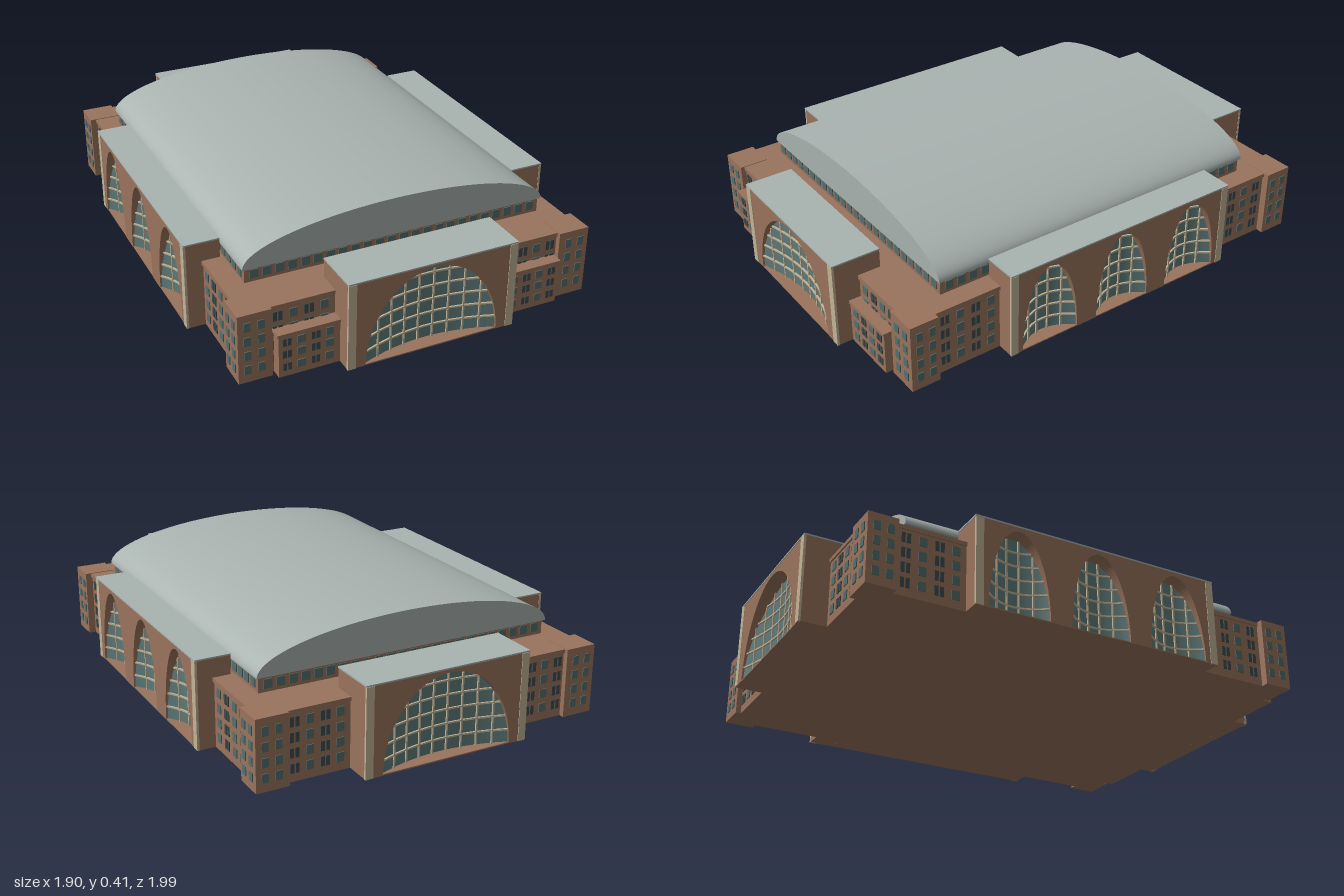
import * as THREE from 'three';
import { mergeGeometries } from 'three/addons/utils/BufferGeometryUtils.js';

const mat = (name, color, side = THREE.FrontSide) => {
  const m = new THREE.MeshStandardMaterial({ color, side });
  m.name = name;
  return m;
};

export function createModel() {
  const brick = mat('brick', 0x9a745d);
  const metal = mat('roofMetal', 0xa9b3b0);
  const glass = mat('archGlass', 0x5f7c7b, THREE.DoubleSide);
  const pane = mat('windowPane', 0x566e6d);
  const darkPane = mat('darkWindowPane', 0x404c4d);
  const trim = mat('stoneTrim', 0xc3b497);

  const model = new THREE.Group();
  model.name = 'arena';
  const hall = new THREE.Group();
  hall.name = 'hall';
  hall.rotation.y = THREE.MathUtils.degToRad(35);
  model.add(hall);

  const add = (parent, name, geo, material) => {
    const m = new THREE.Mesh(geo, material);
    m.name = name;
    parent.add(m);
    return m;
  };
  // box from minimum to maximum corners
  const span = (x0, x1, y0, y1, z0, z1) =>
    new THREE.BoxGeometry(x1 - x0, y1 - y0, z1 - z0)
      .translate((x0 + x1) / 2, (y0 + y1) / 2, (z0 + z1) / 2);

  // main block with a slightly wider cornice
  const bx = 0.588, bz = 0.765, deckY = 0.235;
  add(hall, 'mainBlock', span(-bx, bx, 0, 0.222, -bz, bz), brick);
  add(hall, 'cornice', span(-bx - 0.005, bx + 0.005, 0.222, deckY, -bz - 0.005, bz + 0.005), brick);
  for (const sx of [-1, 1]) for (const sz of [-1, 1]) {
    add(hall, 'cornerPavilion', new THREE.BoxGeometry(0.11, deckY + 0.002, 0.1)
      .translate(sx * 0.558, (deckY + 0.002) / 2, sz * 0.733), brick);
  }

  // clerestory and barrel roof
  add(hall, 'clerestory', span(-0.522, 0.522, deckY, 0.285, -0.618, 0.618), brick);
  const arch = new THREE.Shape();
  arch.moveTo(0.53, 0.283);
  arch.absellipse(0, 0.285, 0.53, 0.127, 0, Math.PI, false);
  arch.lineTo(-0.53, 0.283);
  const roof = new THREE.ExtrudeGeometry(arch, { depth: 1.25, bevelEnabled: false, curveSegments: 40 })
    .translate(0, 0, -0.625);
  // smooth the vault normals, keep the flat ends
  const p = roof.attributes.position, n = roof.attributes.normal;
  for (let i = 0; i < p.count; i++) {
    if (Math.abs(n.getZ(i)) > 0.5 || n.getY(i) < -0.5) continue;
    const v = new THREE.Vector3(p.getX(i) / 0.53 ** 2, Math.max(0, p.getY(i) - 0.285) / 0.127 ** 2, 0).normalize();
    n.setXYZ(i, v.x, v.y, 0);
  }
  add(hall, 'barrelRoof', roof, metal);

  // curved, recessed arch window with a grid of glazing bars
  const archWindow = (parent, cx, w, h, z, cols, rows) => {
    const depth = 0.045;
    const back = u => z - 0.006 - depth * (1 - (u / w) ** 2);
    const top = u => h * Math.sqrt(Math.max(0, 1 - (u / w) ** 2));
    const g = new THREE.PlaneGeometry(1, 1, 32, 1);
    const q = g.attributes.position;
    for (let i = 0; i < q.count; i++) {
      const u = -w * Math.cos((q.getX(i) + 0.5) * Math.PI);
      q.setXYZ(i, cx + u, (q.getY(i) + 0.5) * top(u), back(u));
    }
    g.computeVertexNormals();
    add(parent, 'archGlass', g, glass);

    const bars = [], t = 0.0055;
    for (let i = 1; i < cols; i++) {
      const u = -w + (2 * w * i) / cols;
      bars.push(new THREE.BoxGeometry(t, top(u), t).translate(cx + u, top(u) / 2, back(u) + 0.003));
    }
    for (let j = 1; j < rows; j++) {
      const y = (h * j) / rows, reach = w * Math.sqrt(1 - (y / h) ** 2), parts = 10;
      for (let k = 0; k < parts; k++) {
        const a = -reach + (2 * reach * k) / parts, b = a + (2 * reach) / parts;
        const dz = back(b) - back(a);
        bars.push(new THREE.BoxGeometry(Math.hypot(b - a, dz), t, t)
          .rotateY(-Math.atan2(dz, b - a))
          .translate(cx + (a + b) / 2, y, (back(a) + back(b)) / 2 + 0.003));
      }
    }
    add(parent, 'glazingBars', mergeGeometries(bars), trim);
  };

  // entrance wing: arched front wall, solid back, metal top, stone end strips
  const wing = (side, half, z0, z1, centres, w, h, cols, rows) => {
    const s = new THREE.Shape();
    s.moveTo(-half, 0);
    for (const c of centres) {
      s.lineTo(c - w, 0);
      s.absellipse(c, 0, w, h, Math.PI, 0, true);
    }
    s.lineTo(half, 0);
    s.lineTo(half, 0.299);
    s.lineTo(-half, 0.299);
    const wall = new THREE.ExtrudeGeometry(s, { depth: 0.056, bevelEnabled: false, curveSegments: 28 })
      .translate(0, 0, z1 - 0.056);
    add(side, 'archedWall', wall, brick);
    add(side, 'wingCore', span(-half, half, 0, 0.299, z0, z1 - 0.055), brick);
    add(side, 'wingFloor', span(-half, half, 0, 0.004, z1 - 0.056, z1 - 0.001), brick);
    add(side, 'wingRoof', span(-half - 0.002, half + 0.002, 0.299, 0.304, z0, z1 + 0.002), metal);
    for (const e of [-1, 1]) {
      add(side, 'stoneStrip', new THREE.BoxGeometry(0.027, 0.298, 0.008)
        .translate(e * (half - 0.0125), 0.149, z1 - 0.002), trim);
    }
    for (const c of centres) archWindow(side, c, w, h, z1, cols, rows);
  };

  // rows of thin window plates on a wall at depth z
  const windows = (side, xs, ys, z, w, h, material) => {
    const list = [];
    for (const x of xs) for (const y of ys) {
      list.push(new THREE.BoxGeometry(w, h, 0.006).translate(x, y, z));
    }
    add(side, 'windows', mergeGeometries(list), material);
  };
  const range = (a, b, count) => Array.from({ length: count }, (_, i) => a + ((b - a) * i) / (count - 1));
  const floors = [0.045, 0.095, 0.145, 0.195];

  for (let k = 0; k < 4; k++) {
    const end = k % 2 === 0;
    const side = new THREE.Group();
    side.name = ['frontSide', 'leftSide', 'backSide', 'rightSide'][k];
    side.rotation.y = (k * Math.PI) / 2;
    hall.add(side);

    if (end) wing(side, 0.29, 0.69, 0.857, [0], 0.23, 0.288, 9, 6);
    else wing(side, 0.445, 0.532, 0.65, [-0.293, 0, 0.293], 0.107, 0.285, 5, 6);

    const wallZ = end ? bz : bx, wingHalf = end ? 0.29 : 0.445;
    const edge = end ? 0.613 : 0.783, towerZ = end ? 0.783 : 0.613;
    for (const e of [-1, 1]) {
      const cols = range(wingHalf + 0.035, edge - 0.135, 4).map(x => x * e);
      windows(side, [cols[0], cols[2]], floors, wallZ, 0.026, 0.03, pane);
      // paired narrow windows
      windows(side, [cols[1] - 0.009, cols[1] + 0.009, cols[3] - 0.009, cols[3] + 0.009],
        floors, wallZ, 0.013, 0.032, darkPane);
      windows(side, [e * (edge - 0.03), e * (edge - 0.075)], floors, towerZ, 0.022, 0.03, pane);

      // low annexes flank the front wing only
      if (k === 0) {
        add(side, 'annex', span(e > 0 ? 0.285 : -0.492, e > 0 ? 0.492 : -0.285, 0, 0.145, 0.74, 0.803), brick);
        add(side, 'annexCornice', span(e > 0 ? 0.285 : -0.497, e > 0 ? 0.497 : -0.285, 0.145, 0.154, 0.74, 0.808), brick);
        const ax = range(0.325, 0.465, 4).map(x => x * e);
        windows(side, [ax[0], ax[2]], [0.035, 0.08, 0.122], 0.803, 0.026, 0.026, pane);
        windows(side, [ax[1] - 0.008, ax[1] + 0.008, ax[3] - 0.008, ax[3] + 0.008],
          [0.035, 0.08, 0.122], 0.803, 0.012, 0.026, darkPane);
      }
    }

    // clerestory window band
    const ch = end ? 0.49 : 0.585;
    windows(side, range(-ch, ch, end ? 24 : 28), [0.262], end ? 0.618 : 0.522, 0.028, 0.03, pane);
  }
  return model;
}
